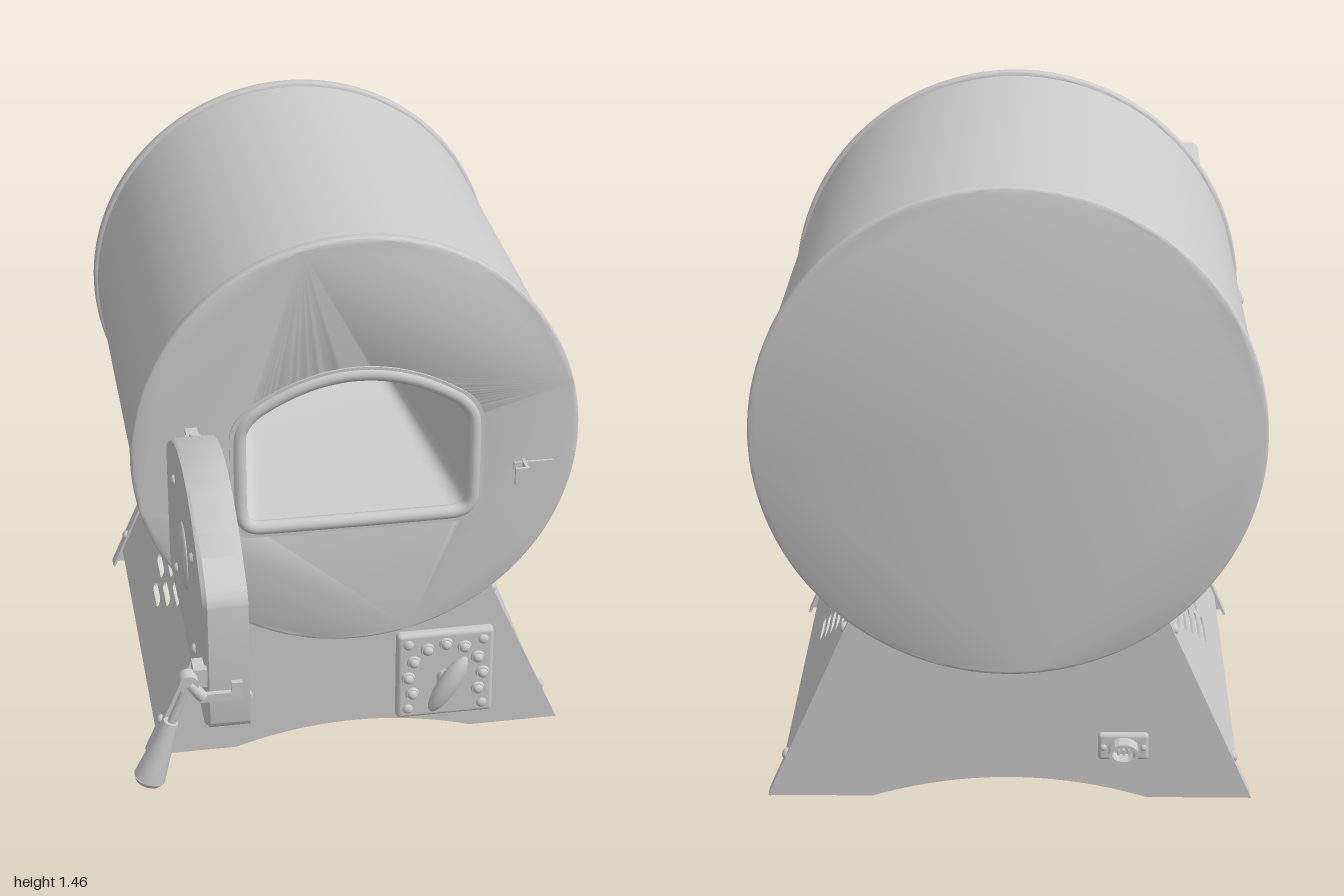
import * as THREE from 'three';
import { toCreasedNormals } from 'three/addons/utils/BufferGeometryUtils.js';
import { RoundedBoxGeometry } from 'three/addons/geometries/RoundedBoxGeometry.js';

const mat = new THREE.MeshStandardMaterial({ color: 0xcccccc, side: THREE.DoubleSide });
const V = (x, y, z) => new THREE.Vector3(x, y, z);

function add(parent, name, geo, x = 0, y = 0, z = 0) {
  const m = new THREE.Mesh(geo, mat);
  m.name = name;
  m.position.set(x, y, z);
  parent.add(m);
  return m;
}
const box = (w, h, d) => new THREE.BoxGeometry(w, h, d);
const extrude = (shape, depth, bevel = 0) => toCreasedNormals(new THREE.ExtrudeGeometry(shape, {
  depth, curveSegments: 64, bevelEnabled: bevel > 0, bevelSize: bevel, bevelThickness: bevel, bevelSegments: 4,
}), 0.6);
// dome facing +z
const dome = (r, h) => new THREE.SphereGeometry(r, 16, 6, 0, Math.PI * 2, 0, Math.PI / 2)
  .rotateX(Math.PI / 2).scale(1, 1, h / r);
// disc or stud facing +z, starting at z = 0
const stud = (r, h, n = 20) => new THREE.CylinderGeometry(r * 0.85, r, h, n).rotateX(Math.PI / 2).translate(0, 0, h / 2);

// rod or cone between two points
function rod(parent, name, a, b, ra, rb = ra) {
  const m = add(parent, name, new THREE.CylinderGeometry(rb, ra, a.distanceTo(b), 20));
  m.position.copy(a).lerp(b, 0.5);
  m.quaternion.setFromUnitVectors(V(0, 1, 0), b.clone().sub(a).normalize());
  return m;
}

// arched door outline, counterclockwise
function archShape(hw, y0, y1, peak, r, Type = THREE.Shape) {
  const s = 2 * (peak - y1) / (r + hw), p = new Type();
  p.moveTo(-hw + r, y0);
  p.lineTo(hw - r, y0);
  p.quadraticCurveTo(hw, y0, hw, y0 + r);
  p.lineTo(hw, y1 - r);
  p.quadraticCurveTo(hw, y1, hw - r, y1 + r * s);
  p.quadraticCurveTo(0, y1 + hw * s, -hw + r, y1 + r * s);
  p.quadraticCurveTo(-hw, y1, -hw, y1 - r);
  p.lineTo(-hw, y0 + r);
  p.quadraticCurveTo(-hw, y0, -hw + r, y0);
  return p;
}

// skin through copies of an outline, each scaled about (0, cy) and set at depth z
function loft(shape, cy, rings, crease) {
  const pts = shape.getPoints(12);
  pts.pop();
  const n = pts.length, pos = [], idx = [];
  rings.forEach(([k, z], i) => pts.forEach((p, j) => {
    pos.push(p.x * k, cy + (p.y - cy) * k, z);
    if (i === rings.length - 1) return;
    const a = i * n + j, b = i * n + (j + 1) % n;
    idx.push(a, b, b + n, a, b + n, a + n);
  }));
  const g = new THREE.BufferGeometry();
  g.setAttribute('position', new THREE.Float32BufferAttribute(pos, 3));
  g.setIndex(idx);
  g.computeVertexNormals();
  return crease ? toCreasedNormals(g, crease) : g;
}

function makeBarrel(root) {
  const g = new THREE.Group();
  g.name = 'barrel';
  g.position.x = 0.045;
  root.add(g);
  const cy = 0.897;
  add(g, 'barrelWall', new THREE.CylinderGeometry(0.555, 0.555, 1.05, 96, 1, true).rotateX(Math.PI / 2), 0, cy, -0.435);
  // end caps, the front one cut out for the chamber
  const disc = () => new THREE.Shape().absarc(0, cy, 0.557, 0, Math.PI * 2);
  add(g, 'backCap', extrude(disc(), 0.018, 0.008), 0, 0, -0.98);
  const front = disc();
  front.holes.push(archShape(0.292, 0.688, 0.99, 1.102, 0.05, THREE.Path));
  add(g, 'frontCap', extrude(front, 0.018, 0.008), 0, 0, 0.087);
  // mouth plate and rounded rim
  const plate = archShape(0.322, 0.665, 1.0, 1.122, 0.06);
  plate.holes.push(archShape(0.285, 0.695, 0.985, 1.095, 0.05, THREE.Path));
  add(g, 'mouthPlate', extrude(plate, 0.006), 0, 0, 0.112);
  const rim = archShape(0.297, 0.688, 0.99, 1.1, 0.055).getPoints(8).slice(0, -1).map(p => V(p.x, p.y, 0));
  const curve = new THREE.CatmullRomCurve3(rim, true, 'centripetal');
  add(g, 'mouthRim', new THREE.TubeGeometry(curve, 160, 0.018, 12, true), 0, 0, 0.108);
  // tapering chamber
  add(g, 'chamber', loft(archShape(0.292, 0.688, 0.99, 1.102, 0.05), 0.88,
    [[1, 0.105], [0.96, 0.03], [0.86, -0.2], [0.74, -0.45], [0.6, -0.65], [0.38, -0.77], [0.001, -0.81]]));
  // door catch
  add(g, 'catchStrap', box(0.1, 0.022, 0.008), 0.45, 0.81, 0.116);
  add(g, 'catchArm', box(0.008, 0.035, 0.055), 0.425, 0.81, 0.14);
  add(g, 'catchHook', box(0.036, 0.046, 0.008), 0.41, 0.808, 0.166);
}

function makeStand(root) {
  const stand = new THREE.Group();
  stand.name = 'stand';
  stand.position.set(0.045, 0, -0.435);
  root.add(stand);
  const tilt = Math.atan2(0.205, 0.465), c = Math.cos(tilt), sn = Math.sin(tilt);
  // one side and one end, repeated by a half turn
  for (const turn of [0, Math.PI]) {
    const half = new THREE.Group();
    half.name = turn ? 'standBackHalf' : 'standFrontHalf';
    half.rotation.y = turn;
    stand.add(half);
    const a = Math.asin((0.897 - 0.462) / 0.557);
    const end = new THREE.Shape();
    end.moveTo(-0.555, 0);
    end.lineTo(-0.315, 0);
    end.quadraticCurveTo(0, 0.1, 0.315, 0);
    end.lineTo(0.555, 0);
    end.lineTo(0.35, 0.462);
    end.absarc(0, 0.897, 0.557, -a, -Math.PI + a, true);
    add(half, 'endPanel', extrude(end, 0.01), 0, 0, 0.498);

    // sloping side: x runs along the barrel, y up the slope, z outward
    const side = new THREE.Group();
    side.name = 'side';
    side.position.x = 0.555;
    side.setRotationFromMatrix(new THREE.Matrix4().makeBasis(V(0, 0, -1), V(-sn, c, 0), V(c, sn, 0)));
    half.add(side);
    const panel = new THREE.Shape([[-0.5, 0.06], [0.5, 0.06], [0.5, 0.51], [-0.5, 0.51]].map(p => new THREE.Vector2(...p)));
    for (let row = 0; row < 5; row++) for (let i = 0; i <= row; i++) {
      const u = (i - row / 2) * 0.153, s = (0.184 + row * 0.0465) / c, r = 0.013;
      const slot = new THREE.Path();
      slot.absarc(u + 0.043, s, r, -Math.PI / 2, Math.PI / 2);
      slot.absarc(u - 0.043, s, r, Math.PI / 2, Math.PI * 1.5);
      panel.holes.push(slot);
    }
    add(side, 'ventPanel', new THREE.ExtrudeGeometry(panel, { depth: 0.006, bevelEnabled: false, curveSegments: 8 }), 0, 0, -0.012);
    add(side, 'topLip', box(0.91, 0.025, 0.008), 0, 0.513, -0.004);
    for (const u of [-0.365, 0.365]) add(side, 'lipScrew', dome(0.011, 0.008), u, 0.513, 0);
    for (const e of [-1, 1]) {
      add(side, 'cornerFlange', box(0.038, 0.505, 0.006), e * 0.489, 0.2525, -0.003);
      for (const s of [0.105, 0.455]) add(side, 'flangeScrew', dome(0.013, 0.01), e * 0.485, s, 0);
    }
  }
}

function makeControls(root) {
  const g = new THREE.Group();
  g.name = 'controlPanel';
  g.position.set(0.285, 0.19, 0.073);
  root.add(g);
  add(g, 'panelPlate', new RoundedBoxGeometry(0.26, 0.26, 0.032, 4, 0.012), 0, 0, 0.014);
  for (const x of [-0.1, 0.1]) for (const y of [-0.1, 0.1]) add(g, 'panelScrew', dome(0.014, 0.01), x, y, 0.03);
  // ring of dial markers
  for (let i = 0; i < 9; i++) {
    const t = (-28 + i * 29.5) * Math.PI / 180;
    const x = 0.1 * Math.cos(t), y = -0.005 + 0.1 * Math.sin(t);
    add(g, 'markerRing', stud(0.019, 0.008), x, y, 0.029);
    add(g, 'marker', dome(0.014, 0.012), x, y, 0.036);
  }
  add(g, 'dialStem', stud(0.024, 0.04), 0, -0.008, 0.03);
  const dial = add(g, 'dial', new THREE.SphereGeometry(1, 32, 20).scale(0.028, 0.092, 0.025), 0, -0.008, 0.066);
  dial.rotation.z = -0.53;

  // indicator stud on the front
  add(root, 'indicatorNut', stud(0.022, 0.012, 8), -0.245, 0.16, 0.073);
  add(root, 'indicatorLamp', dome(0.013, 0.012), -0.245, 0.16, 0.084);

  // power inlet on the back
  const inlet = new THREE.Group();
  inlet.name = 'powerInlet';
  inlet.position.set(-0.215, 0.138, -0.943);
  inlet.rotation.y = Math.PI;
  root.add(inlet);
  add(inlet, 'inletPlate', new RoundedBoxGeometry(0.115, 0.066, 0.02, 3, 0.009), 0, 0, 0.01);
  const socket = new THREE.Shape().absellipse(0, 0, 0.034, 0.025, 0, Math.PI * 2);
  socket.holes.push(new THREE.Path().absellipse(0, 0, 0.026, 0.017, 0, Math.PI * 2));
  add(inlet, 'inletSocket', extrude(socket, 0.038), 0, 0, 0.018);
  for (const x of [-0.012, 0, 0.012]) add(inlet, 'inletPin', box(0.005, 0.012, 0.03), x, 0, 0.03);
  for (const x of [-0.046, 0.046]) add(inlet, 'inletScrew', dome(0.008, 0.006), x, 0, 0.02);
}

function makeDoor(root) {
  // local z points to the inner face of the open door
  const door = new THREE.Group();
  door.name = 'door';
  door.position.set(-0.44, 0, 0.565);
  door.rotation.y = Math.PI / 2;
  root.add(door);
  add(door, 'doorShell', loft(archShape(0.367, 0.66, 1.0, 1.14, 0.03), 0.9,
    [[0.001, 0], [0.975, 0], [1, 0.01], [1, 0.1], [0.975, 0.1], [0.95, 0.088], [0.74, 0.058], [0.5, 0.052], [0.001, 0.05]], 0.6));
  const boss = [[0.105, 0], [0.09, 0.018], [0.065, 0.05], [0.05, 0.063], [0.037, 0.064], [0.025, 0.056], [0, 0.05]];
  add(door, 'innerBoss', new THREE.LatheGeometry(new THREE.SplineCurve(boss.map(p => new THREE.Vector2(...p))).getPoints(24), 40)
    .rotateX(Math.PI / 2), 0, 0.905, 0.05);
  add(door, 'outerBoss', dome(0.08, 0.016).rotateY(Math.PI), 0, 0.9, 0);
  for (const x of [-0.18, 0.18]) for (const y of [0.76, 1.0]) add(door, 'doorRivet', dome(0.013, 0.01).rotateY(Math.PI), x, y, 0);

  // hinges
  for (const y of [0.965, 0.7]) {
    const h = new THREE.Group();
    h.name = 'hinge';
    h.position.set(-0.37, y, 0.158);
    root.add(h);
    for (const dy of [-0.018, 0.018]) add(h, 'hingeKnuckle', new THREE.CylinderGeometry(0.02, 0.02, 0.014, 20), 0, dy, 0);
    add(h, 'hingePin', new THREE.CylinderGeometry(0.009, 0.009, 0.062, 16));
    add(h, 'bodyLeaf', box(0.03, 0.012, 0.05), 0, 0.018, -0.024);
    add(h, 'doorLeaf', box(0.03, 0.012, 0.045), 0, -0.018, 0.022);
    add(h, 'doorHingePlate', box(0.06, 0.075, 0.006), 0, 0, 0.038);
  }

  // latch and handle
  const g = new THREE.Group();
  g.name = 'handle';
  root.add(g);
  add(g, 'latchBracket', box(0.03, 0.045, 0.05), -0.45, 0.81, 0.918);
  const pivot = add(g, 'latchPivot', new THREE.CylinderGeometry(0.022, 0.022, 0.035, 20), -0.478, 0.81, 0.948);
  pivot.rotation.x = Math.PI / 2;
  rod(g, 'latchLink', V(-0.478, 0.81, 0.957), V(-0.448, 0.772, 0.957), 0.013);
  add(g, 'latchBar', box(0.095, 0.02, 0.012), -0.408, 0.77, 0.957);
  add(g, 'latchTip', box(0.025, 0.045, 0.012), -0.372, 0.782, 0.957);
  rod(g, 'handleStem', V(-0.478, 0.81, 0.957), V(-0.52, 0.71, 0.957), 0.01);
  rod(g, 'handleGrip', V(-0.52, 0.715, 0.957), V(-0.572, 0.572, 0.957), 0.017, 0.036);
  rod(g, 'handleGripEnd', V(-0.572, 0.572, 0.957), V(-0.575, 0.562, 0.957), 0.036, 0.03);
}

export function createModel() {
  const root = new THREE.Group();
  root.name = 'kiln';
  makeBarrel(root);
  makeStand(root);
  makeControls(root);
  makeDoor(root);
  return root;
}
